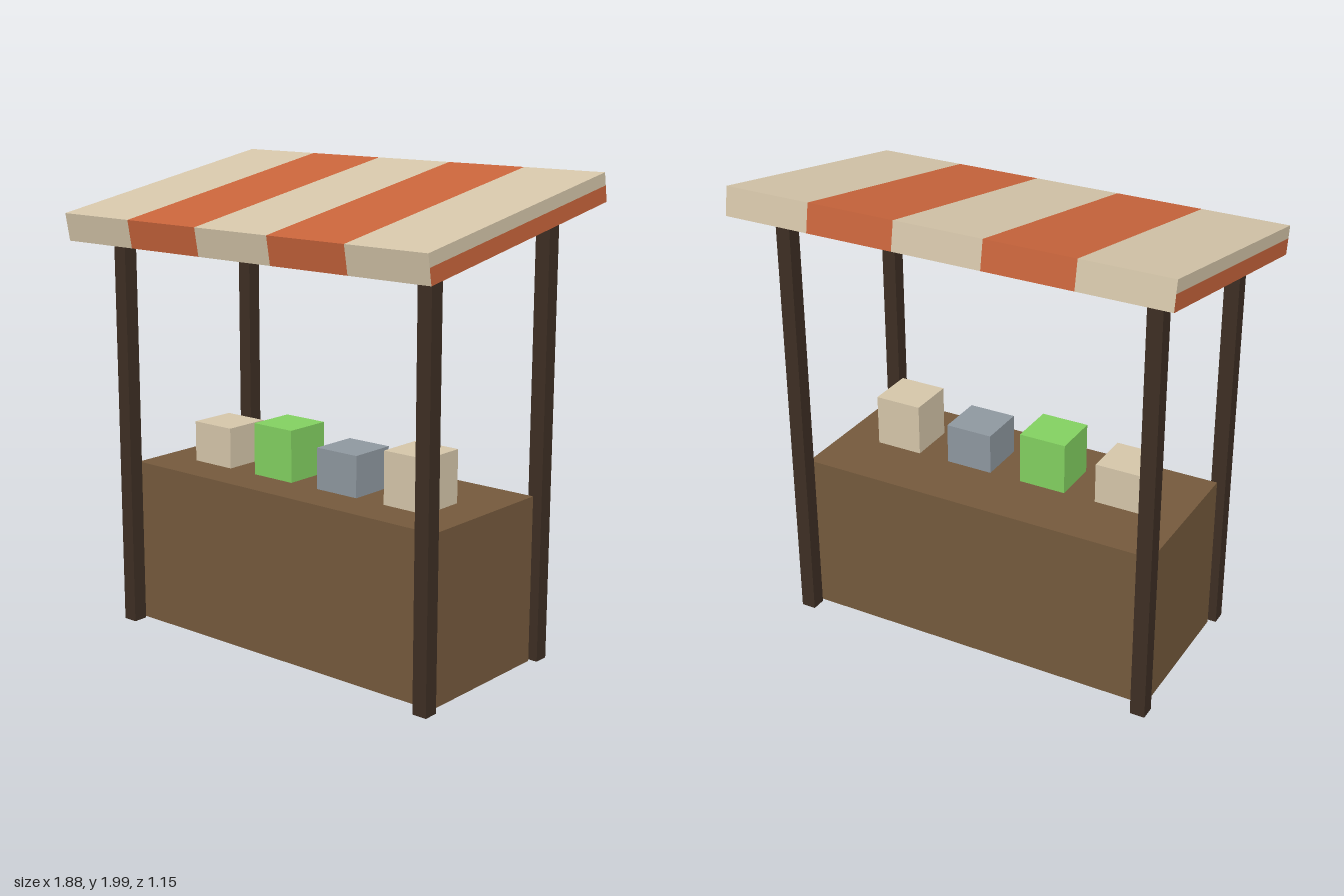
import * as THREE from 'three';

const paint = (name, color) => {
  const m = new THREE.MeshStandardMaterial({ color });
  m.name = name;
  return m;
};

export function createModel() {
  const cream = paint('cream', 0xd4c5a9);
  const orange = paint('orange', 0xc8643b);
  const brown = paint('brown wood', 0x74593c);
  const dark = paint('dark wood', 0x3d2e23);
  const green = paint('green', 0x82d060);
  const grey = paint('grey', 0x8e979f);

  const model = new THREE.Group();
  model.name = 'marketStall';

  const box = (parent, name, [w, h, d], [x, y, z], material) => {
    const mesh = new THREE.Mesh(new THREE.BoxGeometry(w, h, d), material);
    mesh.name = name;
    mesh.position.set(x, y, z);
    parent.add(mesh);
    return mesh;
  };

  // Counter
  box(model, 'counter', [1.6, 0.705, 0.66], [0, 0.3575, 0], brown);

  // Four square posts
  for (const x of [-1, 1]) {
    for (const z of [-1, 1]) {
      const name = (z > 0 ? 'front' : 'back') + (x > 0 ? 'Left' : 'Right') + 'Post';
      box(model, name, [0.064, 1.795, 0.064], [x * 0.8, 0.9025, z * 0.376], dark);
    }
  }

  // Goods on the counter: x, height, colour
  const goods = [[-0.522, 0.175, cream], [-0.174, 0.222, green], [0.174, 0.175, grey], [0.522, 0.222, cream]];
  goods.forEach(([x, h, material], i) => {
    box(model, `goods${i + 1}`, [0.207, h, 0.207], [x, 0.71 + h / 2, 0.051], material);
  });

  // Sloping canopy: five stripes over an orange underside and orange lower ends
  const canopy = new THREE.Group();
  canopy.name = 'canopy';
  canopy.position.y = 1.84;
  canopy.rotation.x = THREE.MathUtils.degToRad(10);
  model.add(canopy);
  const width = 0.376, depth = 1.148, upper = 0.052, lower = 0.066;
  for (let i = 0; i < 5; i++) {
    const x = (i - 2) * width;
    const color = i % 2 ? orange : cream;
    box(canopy, `stripe${i + 1}`, [width, upper, depth], [x, 0.059 - upper / 2, 0], color);
    box(canopy, `stripeBase${i + 1}`, [width, lower, depth], [x, -0.059 + lower / 2, 0],
      [orange, orange, color, orange, color, color]);
  }
  return model;
}
